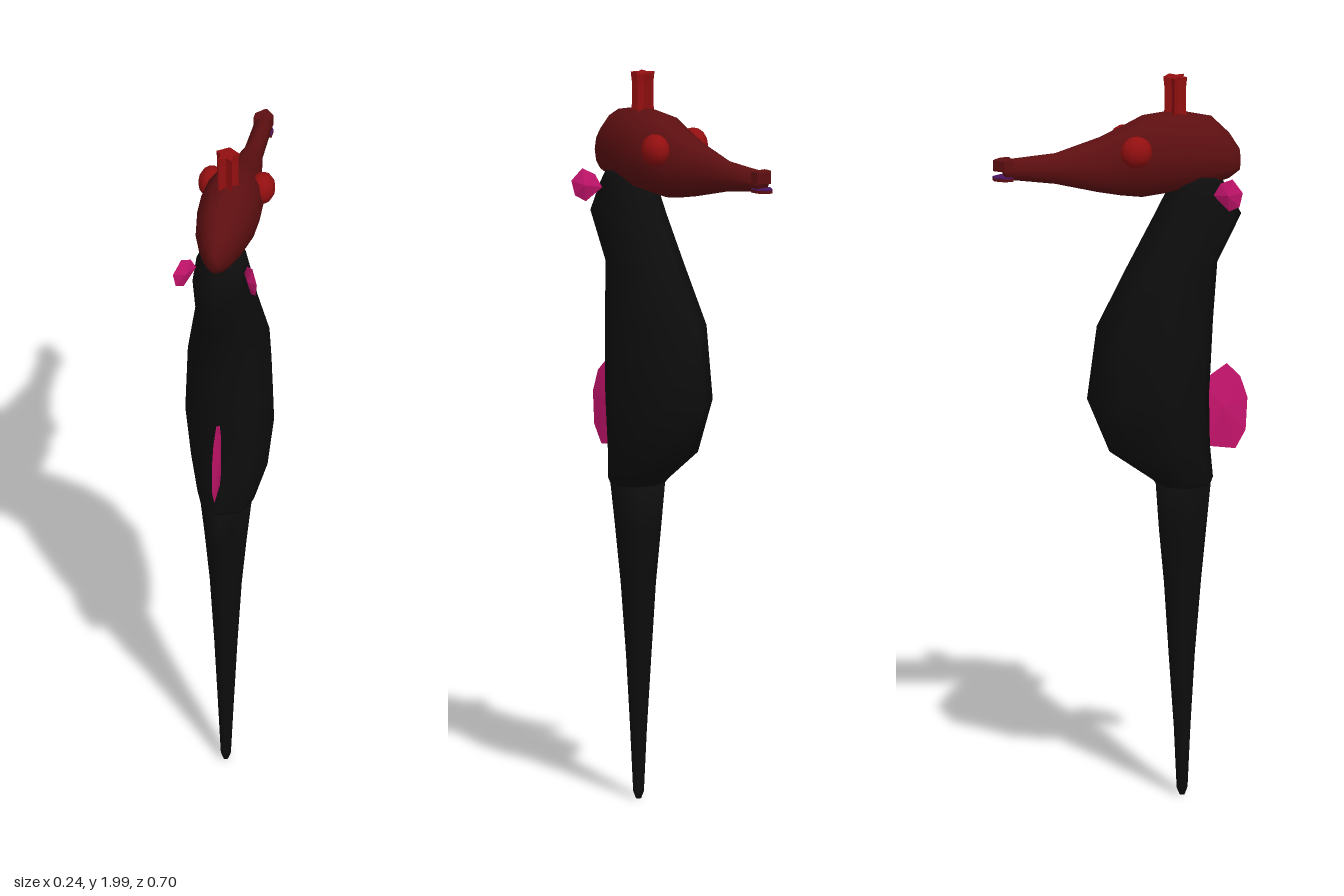
import * as THREE from 'three';

const paint = (name, color, side = THREE.FrontSide) => {
  const m = new THREE.MeshStandardMaterial({ color, side });
  m.name = name;
  return m;
};

// Smooth closed skin through a list of rings (each ring an array of [x, y, z])
function loft(rings) {
  const n = rings[0].length, pos = rings.flat(2), index = [];
  for (let i = 0; i < rings.length - 1; i++) {
    for (let j = 0; j < n; j++) {
      const k = (j + 1) % n, a = i * n + j, b = i * n + k;
      index.push(a, b, b + n, a, b + n, a + n);
    }
  }
  const cap = (start, flip) => {
    for (let j = 1; j < n - 1; j++) {
      if (flip) index.push(start, start + j + 1, start + j);
      else index.push(start, start + j, start + j + 1);
    }
  };
  cap(0, true);
  cap((rings.length - 1) * n, false);
  const g = new THREE.BufferGeometry();
  g.setAttribute('position', new THREE.Float32BufferAttribute(pos, 3));
  g.setIndex(index);
  g.computeVertexNormals();
  return g;
}

const angles = n => Array.from({ length: n }, (_, i) => i / n * Math.PI * 2);

// Thin fin: outline in (along, up), swelling to a ridge point on both sides
function finGeometry(outline, thickness) {
  const n = outline.length, pos = [];
  const cx = outline.reduce((s, p) => s + p[0], 0) / n;
  const cy = outline.reduce((s, p) => s + p[1], 0) / n;
  for (let i = 0; i < n; i++) {
    const a = outline[i], b = outline[(i + 1) % n];
    pos.push(a[0], a[1], 0, b[0], b[1], 0, cx, cy, thickness);
    pos.push(b[0], b[1], 0, a[0], a[1], 0, cx, cy, -thickness);
  }
  const g = new THREE.BufferGeometry();
  g.setAttribute('position', new THREE.Float32BufferAttribute(pos, 3));
  g.computeVertexNormals();
  return g;
}

// Horizontal plate with an outline in (x, z), top face at y
function plate(points, y, depth) {
  const shape = new THREE.Shape(points.map(p => new THREE.Vector2(...p)));
  const g = new THREE.ExtrudeGeometry(shape, { depth, bevelEnabled: false });
  return g.rotateX(Math.PI / 2).translate(0, y, 0);
}

export function createModel() {
  const group = new THREE.Group();
  const black = paint('bodyBlack', 0x0d0d0d);
  const maroon = paint('headMaroon', 0x5e0f11);
  const red = paint('eyeRed', 0x930f10);
  const pink = paint('finPink', 0xc8146e, THREE.DoubleSide);
  const purple = paint('mouthPurple', 0x4a1560);
  const add = (name, geometry, material) => {
    const m = new THREE.Mesh(geometry, material);
    m.name = name;
    group.add(m);
    return m;
  };

  // Trunk and tail rings: [y, belly z, back z, z of the sides, half width]
  const section = ([y, z0, z1, zs, w]) => angles(8).map(a => {
    const c = Math.cos(a);
    return [Math.sin(a) * w, y, zs + c * (c > 0 ? z1 - zs : zs - z0)];
  });
  add('trunk', loft([
    [0.86, 0.11, 0.245, 0.175, 0.065],
    [0.885, 0.09, 0.255, 0.17, 0.078],
    [0.97, -0.03, 0.247, 0.125, 0.105],
    [1.12, -0.092, 0.245, 0.12, 0.122],
    [1.32, -0.065, 0.255, 0.12, 0.115],
    [1.48, 0.018, 0.267, 0.15, 0.088],
    [1.61, 0.088, 0.333, 0.21, 0.083],
    [1.69, 0.13, 0.29, 0.21, 0.072],
    [1.73, 0.15, 0.27, 0.21, 0.055],
  ].map(section)), black);
  add('tail', loft([
    [0.01, 0.163, 0.177, 0.17, 0.007],
    [0.03, 0.155, 0.185, 0.17, 0.014],
    [0.2, 0.147, 0.193, 0.17, 0.022],
    [0.4, 0.133, 0.205, 0.17, 0.032],
    [0.6, 0.12, 0.222, 0.171, 0.044],
    [0.75, 0.106, 0.237, 0.172, 0.058],
    [0.88, 0.097, 0.25, 0.173, 0.072],
  ].map(section)), black);

  // Head and snout rings: [z, bottom y, top y, half width]
  add('head', loft([
    [-0.32, 1.74, 1.795, 0.025],
    [-0.18, 1.72, 1.805, 0.026],
    [-0.06, 1.69, 1.842, 0.05],
    [0.0, 1.678, 1.868, 0.064],
    [0.06, 1.67, 1.897, 0.08],
    [0.15, 1.68, 1.907, 0.083],
    [0.25, 1.695, 1.885, 0.066],
    [0.3, 1.71, 1.835, 0.04],
    [0.328, 1.73, 1.79, 0.012],
  ].map(([z, y0, y1, w]) => angles(12).map(a =>
    [Math.cos(a) * w, (y0 + y1) / 2 + Math.sin(a) * (y1 - y0) / 2, z]))), maroon);

  // Pointed upper jaw, lower jaw and mouth lining
  const beak = tip => [[-0.025, -0.3], [-0.025, -0.325], [-tip, -0.35], [tip, -0.35], [0.025, -0.325], [0.025, -0.3]];
  add('upperJaw', plate(beak(0.002), 1.795, 0.03), maroon);
  add('lowerJaw', plate(beak(0.008), 1.746, 0.008), maroon);
  add('mouthLining', plate(beak(0.009), 1.749, 0.003), purple);

  // Star-shaped crest with a slight waist
  const star = (y, r) => angles(10).map((a, i) => {
    const s = i % 2 ? r * 0.5 : r;
    return [-Math.sin(a) * s, y, 0.152 - Math.cos(a) * s];
  });
  const crest = loft([star(1.87, 0.034), star(1.91, 0.031), star(1.975, 0.031), star(2.0, 0.034)]);
  const flatCrest = crest.toNonIndexed();
  flatCrest.computeVertexNormals();
  add('crest', flatCrest, red);

  // Eyes and neck fins on both sides
  const neckFin = finGeometry([[0, -0.005], [0.045, -0.045], [0.075, -0.03], [0.085, 0.01], [0.055, 0.045], [0.02, 0.03]], 0.012);
  for (const s of [1, -1]) {
    const eye = add(s > 0 ? 'leftEye' : 'rightEye', new THREE.SphereGeometry(0.044, 12, 8), red);
    eye.scale.x = 0.8;
    eye.position.set(s * 0.07, 1.812, 0.028);
    const fin = add(s > 0 ? 'leftNeckFin' : 'rightNeckFin', neckFin, pink);
    fin.position.set(s * 0.066, 1.685, 0.242);
    fin.rotation.y = -Math.PI / 2 + s * 0.62;
  }

  // Dorsal fin in the middle of the back
  const dorsal = add('dorsalFin', finGeometry([
    [0.22, 0.97], [0.245, 0.97], [0.317, 0.96], [0.345, 1.01], [0.35, 1.1],
    [0.33, 1.16], [0.293, 1.197], [0.245, 1.165], [0.22, 1.15],
  ], 0.008), pink);
  dorsal.rotation.y = -Math.PI / 2;
  return group;
}
